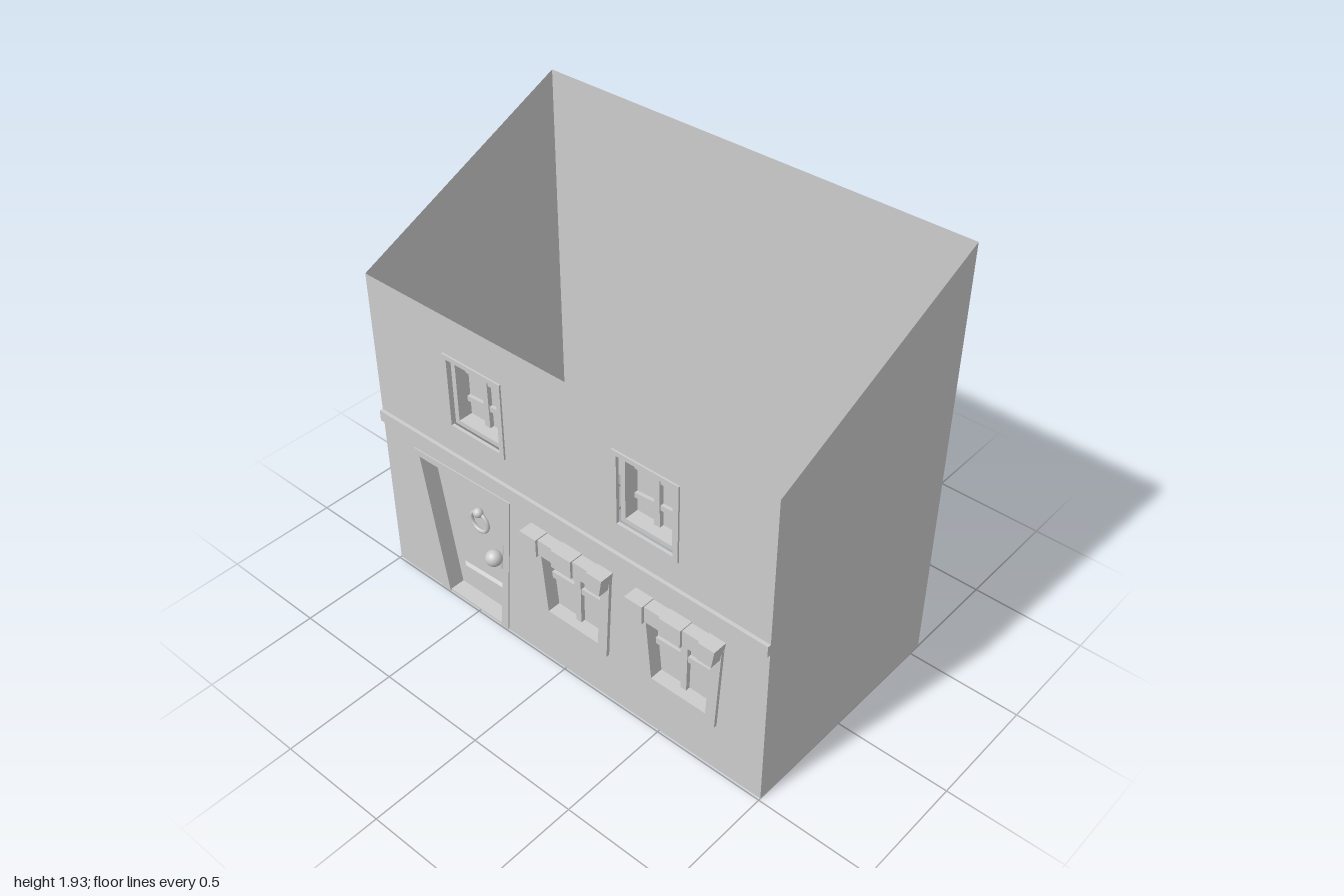
import * as THREE from 'three';

const FRONT = 0.49, BACK = -0.556;

const material = new THREE.MeshStandardMaterial({ color: 0xcccccc, side: THREE.DoubleSide });

function mesh(name, geometry, parent) {
  const m = new THREE.Mesh(geometry, material);
  m.name = name;
  parent.add(m);
  return m;
}

const vec = (pts) => pts.map(([x, y]) => new THREE.Vector2(x, y));
const shift = (pts, dx) => pts.map(([x, y]) => [x + dx, y]);
const rect = (x0, y0, x1, y1) => [[x0, y0], [x1, y0], [x1, y1], [x0, y1]];

function outline(pts, holes = []) {
  const s = new THREE.Shape(vec(pts));
  for (const h of holes) s.holes.push(new THREE.Path(vec(h)));
  return s;
}

// Flat polygon extruded from z0 to z1, optionally with an opening
function slab(name, parent, pts, z0, z1, hole) {
  const g = new THREE.ExtrudeGeometry(outline(pts, hole ? [hole] : []), { depth: z1 - z0, bevelEnabled: false });
  g.translate(0, 0, z0);
  return mesh(name, g, parent);
}

// Raised door panel with sloping edges
function raisedPanel(name, parent, pts, z) {
  const b = 0.014;
  const g = new THREE.ExtrudeGeometry(outline(pts), {
    depth: 0.001, bevelEnabled: true, bevelSegments: 1, bevelThickness: 0.01, bevelSize: b, bevelOffset: -b,
  });
  g.translate(0, 0, z);
  mesh(name, g, parent);
}

// Crooked door opening
const DOOR_IN = [[-0.68, 0], [-0.37, 0], [-0.30, 0.685], [-0.79, 0.68]];

// Lower window contours
const LOW_OUT = [[-0.115, 0.24], [0.24, 0.24], [0.262, 0.65], [-0.147, 0.65]];
const LOW_IN = [[-0.07, 0.285], [0.195, 0.285], [0.218, 0.625], [-0.103, 0.625]];
const LOW_X = [0, 0.54];

// Upper window contours
const UP_OUT = rect(-0.155, 0.94, 0.155, 1.29);
const UP_MID = rect(-0.132, 0.96, 0.132, 1.27);
const UP_IN = rect(-0.11, 0.98, 0.11, 1.25);
const UP_X = [-0.433, 0.43];

function buildWalls(root) {
  const walls = new THREE.Group();
  walls.name = 'walls';
  root.add(walls);
  const holes = [
    DOOR_IN.map(([x, y]) => [x, Math.max(y, 0.002)]),
    ...LOW_X.map((dx) => shift(LOW_IN, dx)),
    ...UP_X.map((dx) => shift(UP_MID, dx)),
  ];
  mesh('frontWall', new THREE.ShapeGeometry(outline(rect(-1, 0, 1, 1.465), holes)), walls).position.z = FRONT;
  const back = new THREE.ShapeGeometry(outline(rect(-1, 0, 1, 1.935)));
  mesh('backWall', back.rotateY(Math.PI), walls).position.z = BACK;
  // Side walls rise towards the back
  for (const s of [-1, 1]) {
    const g = new THREE.ShapeGeometry(outline([[BACK, 0], [FRONT, 0], [FRONT, 1.465], [BACK, 1.935]]));
    g.rotateY(-Math.PI / 2);
    mesh(s > 0 ? 'leftWall' : 'rightWall', g, walls).position.x = s;
  }
  slab('ledge', walls, rect(-1, 0.765, 1, 0.815), FRONT, 0.506);
}

function buildDoor(root) {
  const door = new THREE.Group();
  door.name = 'door';
  root.add(door);
  const frame = [[-0.73, 0], [-0.68, 0], [-0.79, 0.68], [-0.30, 0.685], [-0.37, 0], [-0.33, 0], [-0.27, 0.725], [-0.82, 0.71]];
  slab('doorFrame', door, frame, 0.41, 0.495);
  slab('threshold', door, rect(-0.68, 0, -0.37, 0.008), 0.41, FRONT);
  slab('doorLeaf', door, DOOR_IN, 0.41, 0.42);
  raisedPanel('upperPanel', door, [[-0.635, 0.235], [-0.405, 0.235], [-0.345, 0.625], [-0.70, 0.635]], 0.42);
  raisedPanel('lowerPanel', door, [[-0.64, 0.05], [-0.41, 0.05], [-0.39, 0.152], [-0.655, 0.14]], 0.42);
  // Knocker and knob
  mesh('knockerRing', new THREE.TorusGeometry(0.047, 0.009, 8, 24), door).position.set(-0.515, 0.455, 0.442);
  mesh('knockerBall', new THREE.SphereGeometry(0.022, 16, 12), door).position.set(-0.515, 0.505, 0.446);
  mesh('doorKnob', new THREE.SphereGeometry(0.037, 20, 14), door).position.set(-0.43, 0.315, 0.455);
}

function buildLowerWindow(root, dx) {
  const w = new THREE.Group();
  w.name = 'lowerWindow';
  w.position.x = dx;
  root.add(w);
  slab('windowFrame', w, LOW_OUT, 0.44, 0.505, LOW_IN);
  slab('windowPane', w, LOW_IN, 0.44, 0.445);
  slab('verticalBar', w, [[0.043, 0.285], [0.07, 0.285], [0.075, 0.625], [0.036, 0.625]], 0.445, 0.465);
  slab('crossBar', w, [[-0.085, 0.428], [0.205, 0.44], [0.208, 0.468], [-0.088, 0.458]], 0.445, 0.46);
  // Row of lintel stones, alternately proud and set back
  const bottom = [-0.14, -0.072, 0.007, 0.11, 0.192, 0.255];
  const top = [-0.158, -0.072, 0.007, 0.11, 0.192, 0.268];
  for (let i = 0; i < 5; i++) {
    const d = (i % 2) * 0.005;
    slab('lintelStone', w, [
      [bottom[i], 0.608 + d], [bottom[i + 1], 0.608 + d],
      [top[i + 1], 0.692 - d], [top[i], 0.692 - d],
    ], 0.44, 0.555 - d * 2.4);
  }
}

function buildUpperWindow(root, dx) {
  const w = new THREE.Group();
  w.name = 'upperWindow';
  w.position.x = dx;
  root.add(w);
  slab('outerFrame', w, UP_OUT, 0.484, 0.498, UP_MID);
  slab('innerFrame', w, UP_MID, 0.40, 0.475, UP_IN);
  slab('windowPane', w, UP_IN, 0.40, 0.41);
  // Slightly crooked glazing bars
  slab('verticalBar', w, [[-0.014, 0.98], [0.014, 0.98], [0.01, 1.25], [-0.016, 1.25]], 0.41, 0.43);
  for (const [yl, yr] of [[1.195, 1.185], [1.06, 1.075]]) {
    slab('crossBar', w, [[-0.11, yl - 0.012], [0.11, yr - 0.012], [0.11, yr + 0.012], [-0.11, yl + 0.012]], 0.41, 0.425);
  }
}

export function createModel() {
  const root = new THREE.Group();
  root.name = 'house';
  buildWalls(root);
  buildDoor(root);
  for (const x of LOW_X) buildLowerWindow(root, x);
  for (const x of UP_X) buildUpperWindow(root, x);
  return root;
}
